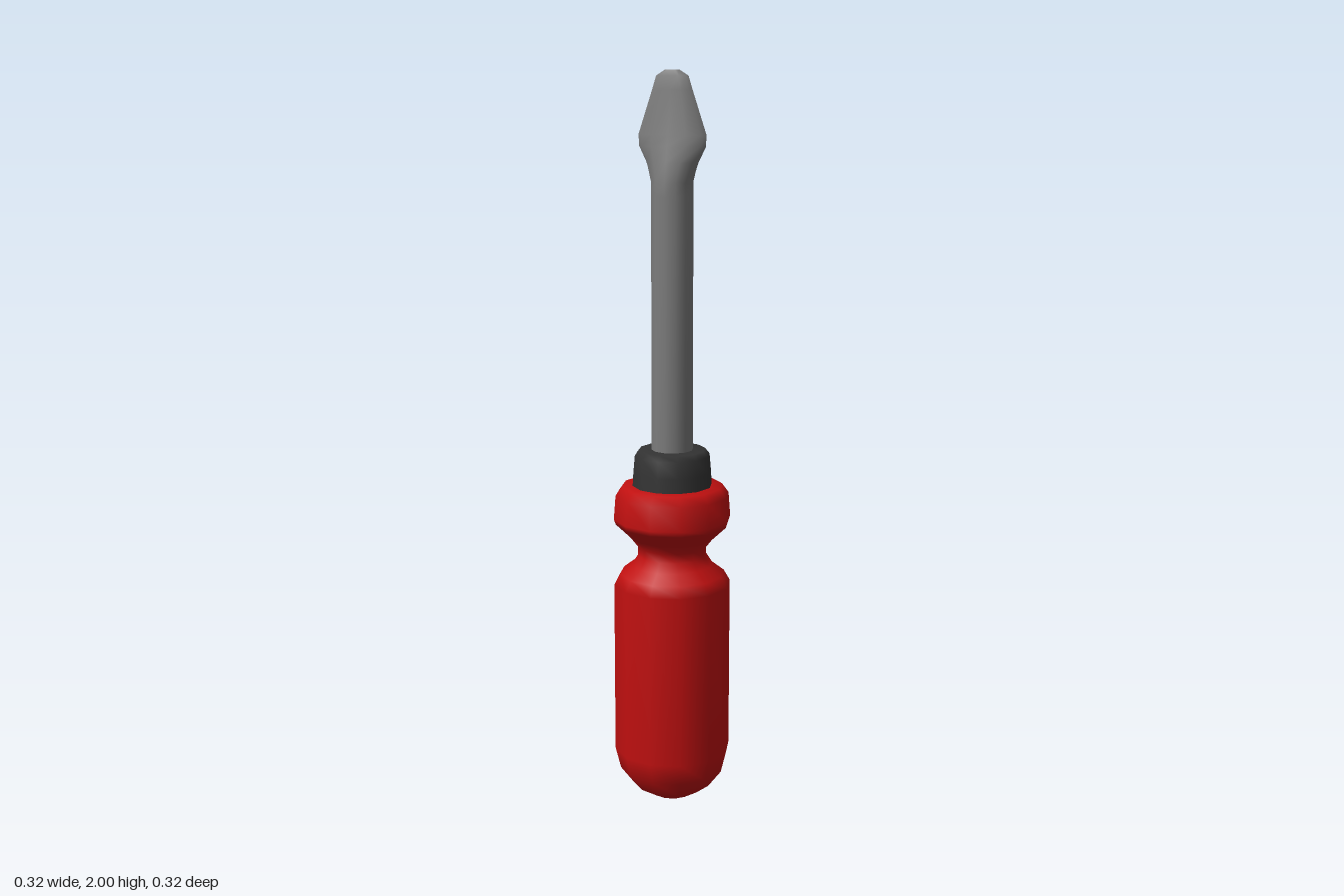
import * as THREE from 'three';
import { mergeVertices, toCreasedNormals } from 'three/addons/utils/BufferGeometryUtils.js';

const SIDES = 12;

const mat = (name, color) => {
  const m = new THREE.MeshStandardMaterial({ color });
  m.name = name;
  return m;
};

// Turned part from [radius, height] pairs, bottom to top
function turned(name, profile, material) {
  const pts = profile.map(([r, y]) => new THREE.Vector2(r, y));
  const mesh = new THREE.Mesh(new THREE.LatheGeometry(pts, SIDES), material);
  mesh.name = name;
  return mesh;
}

// Part with sections [height, half width, half depth, edge sharpness], top to bottom
function sectioned(name, sections, material) {
  const rows = sections.length - 1;
  let geo = new THREE.CylinderGeometry(1, 1, 1, SIDES, rows);
  const pos = geo.attributes.position;
  for (let i = 0; i < pos.count; i++) {
    const [y, w, d, sharp] = sections[Math.round((0.5 - pos.getY(i)) * rows)];
    const z = pos.getZ(i);
    pos.setXYZ(i, pos.getX(i) * w, y, z * Math.pow(Math.abs(z), sharp) * d);
  }
  geo.deleteAttribute('uv');
  geo.deleteAttribute('normal');
  geo = toCreasedNormals(mergeVertices(geo), 0.9);
  const mesh = new THREE.Mesh(geo, material);
  mesh.name = name;
  return mesh;
}

export function createModel() {
  const red = mat('handle red', 0xc01010);
  const dark = mat('collar charcoal', 0x333333);
  const steel = mat('shaft steel', 0x7c7c7c);

  const group = new THREE.Group();
  group.name = 'screwdriver';

  // Grip with rounded butt, finger groove and flange
  group.add(turned('handle', [
    [0, 0], [0.055, 0.01], [0.108, 0.042], [0.145, 0.09], [0.16, 0.15],
    [0.16, 0.625], [0.143, 0.655], [0.11, 0.68], [0.094, 0.705], [0.094, 0.73],
    [0.115, 0.757], [0.155, 0.795], [0.16, 0.81], [0.155, 0.875],
    [0.137, 0.9], [0.1, 0.902],
  ], red));

  // Collar between grip and shaft
  group.add(turned('collar', [
    [0.109, 0.89], [0.106, 0.94], [0.102, 0.985], [0.09, 1.0], [0.04, 1.0],
  ], dark));

  // Round shaft flattening into the flared blade
  group.add(sectioned('shaftAndBlade', [
    [2.0, 0.02, 0.009, 0],
    [1.985, 0.045, 0.014, 0.1],
    [1.95, 0.056, 0.017, 0.2],
    [1.835, 0.095, 0.033, 0.4],
    [1.805, 0.093, 0.039, 0.4],
    [1.765, 0.073, 0.047, 0.2],
    [1.715, 0.056, 0.056, 0],
    [1.68, 0.056, 0.056, 0],
    [0.98, 0.056, 0.056, 0],
  ], steel));

  return group;
}
